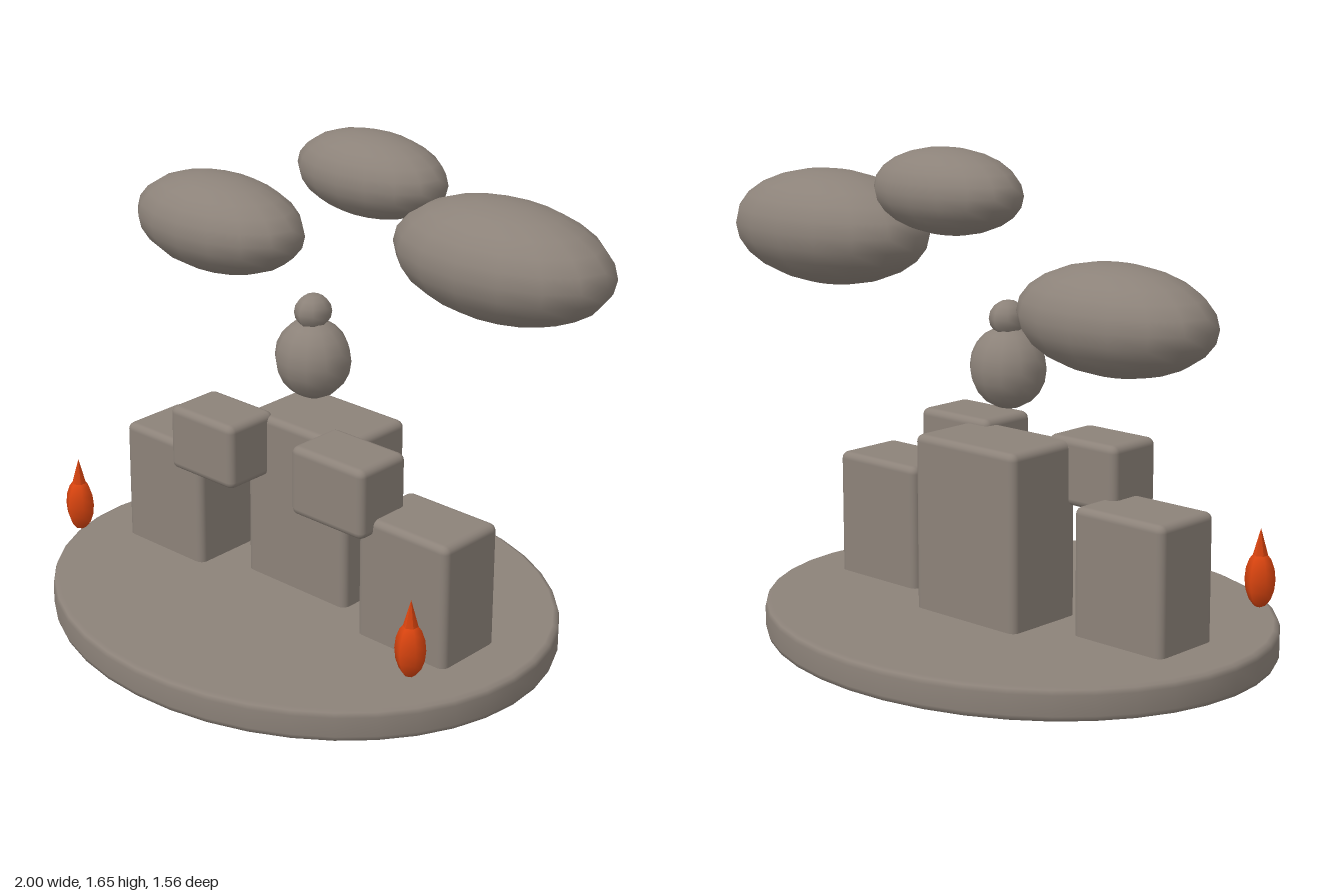
import * as THREE from 'three';
import { RoundedBoxGeometry } from 'three/addons/geometries/RoundedBoxGeometry.js';

export function createModel() {
  const model = new THREE.Group();
  const stone = new THREE.MeshStandardMaterial({ color: 0x8c8279 });
  stone.name = 'stone';
  const fire = new THREE.MeshStandardMaterial({ color: 0xd9440f });
  fire.name = 'fire';

  const add = (name, geometry, material, parent = model) => {
    const mesh = new THREE.Mesh(geometry, material);
    mesh.name = name;
    parent.add(mesh);
    return mesh;
  };

  // Stone block given by its extents on each axis
  const block = (name, [x0, x1], [y0, y1], [z0, z1]) => {
    const geometry = new RoundedBoxGeometry(x1 - x0, y1 - y0, z1 - z0, 2, 0.025);
    add(name, geometry, stone).position.set((x0 + x1) / 2, (y0 + y1) / 2, (z0 + z1) / 2);
  };

  // Smooth ellipsoid given by centre and radii
  const ellipsoid = (name, centre, radii, segments, rings) => {
    const geometry = new THREE.SphereGeometry(1, segments, rings).scale(...radii);
    add(name, geometry, stone).position.set(...centre);
  };

  // Oval base slab with softened rims
  const rim = [[0, 0], [0.895, 0], [0.911, 0.006], [0.917, 0.022],
    [0.917, 0.088], [0.911, 0.104], [0.895, 0.11], [0, 0.11]];
  const slab = new THREE.LatheGeometry(rim.map(([r, y]) => new THREE.Vector2(r, y)), 40);
  add('baseSlab', slab.scale(1, 1, 0.849), stone);

  // Standing pillars
  block('rightPillar', [-0.72, -0.355], [0.07, 0.535], [-0.13, 0.13]);
  block('centrePillar', [-0.22, 0.225], [0.07, 0.7], [-0.26, 0.04]);
  block('leftPillar', [0.36, 0.728], [0.07, 0.535], [-0.13, 0.13]);

  // Smaller blocks in front of the gaps
  block('rightBridgeBlock', [-0.415, -0.125], [0.485, 0.712], [0, 0.21]);
  block('leftBridgeBlock', [0.117, 0.428], [0.478, 0.72], [-0.03, 0.187]);

  // Floating figure
  ellipsoid('figureBody', [0, 0.923, -0.05], [0.133, 0.136, 0.12], 12, 10);
  ellipsoid('figureHead', [0, 1.085, -0.05], [0.06, 0.06, 0.065], 8, 8);

  // Clouds
  ellipsoid('rightCloud', [-0.645, 1.19, -0.27], [0.355, 0.17, 0.214], 16, 12);
  ellipsoid('middleCloud', [0.053, 1.513, -0.27], [0.288, 0.138, 0.172], 16, 12);
  ellipsoid('leftCloud', [0.597, 1.35, -0.27], [0.402, 0.19, 0.24], 16, 12);

  // Six-sided flames: rounded bulb with a pointed tip
  for (const side of [-1, 1]) {
    const flame = new THREE.Group();
    flame.name = side > 0 ? 'leftFlame' : 'rightFlame';
    flame.position.set(side * 0.755, 0, 0.325);
    const bulb = new THREE.SphereGeometry(1, 6, 8).rotateY(Math.PI / 2).scale(0.05, 0.095, 0.05);
    add('flameBulb', bulb, fire, flame).position.y = 0.278;
    add('flameTip', new THREE.ConeGeometry(0.043, 0.155, 6), fire, flame).position.y = 0.37;
    model.add(flame);
  }

  return model;
}
